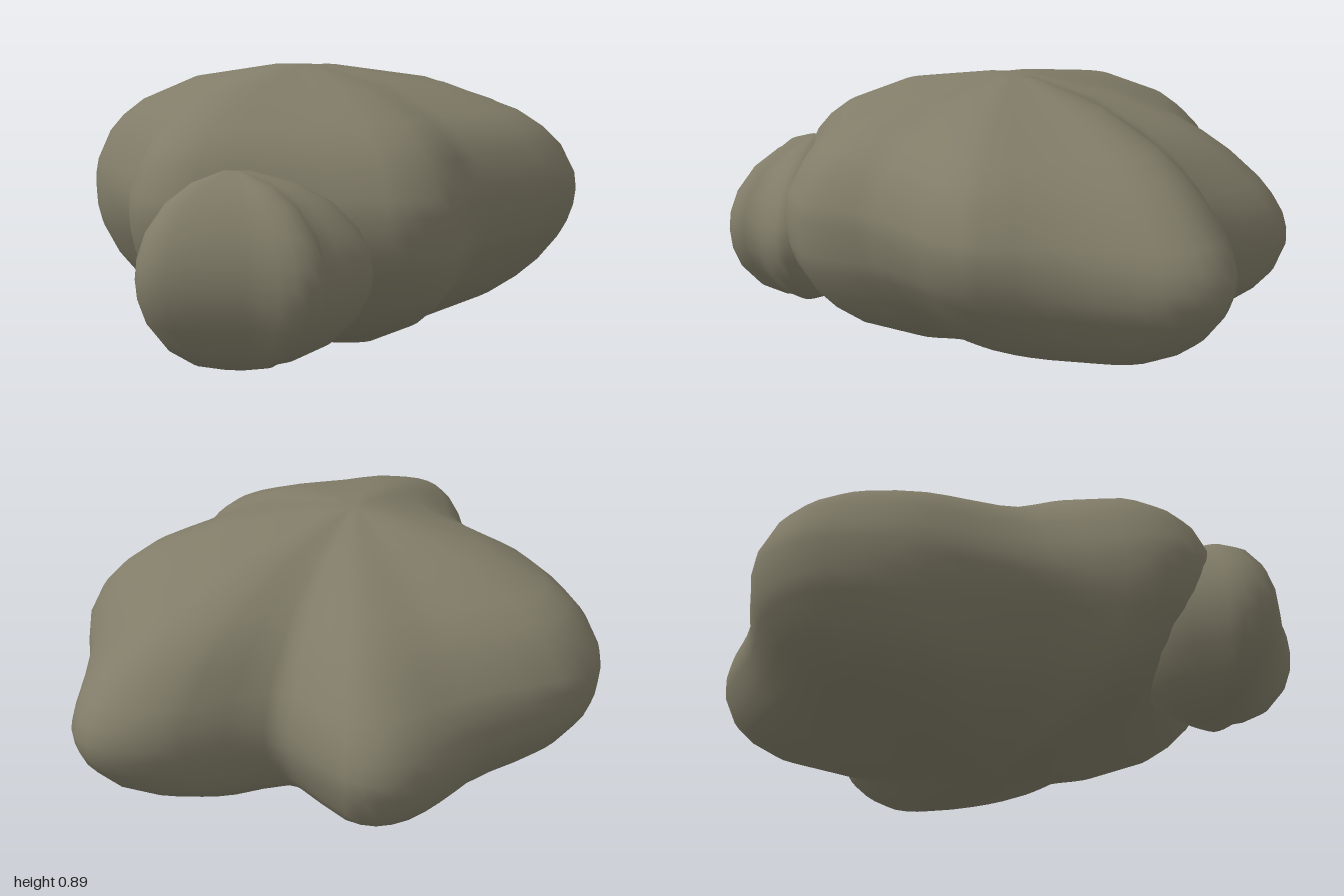
import * as THREE from 'three';

// Blends the swell given at a few compass directions [degrees, upper, lower]
function swellAt(lobes, angle) {
  let upper = 0, lower = 0, total = 1e-6;
  for (const [degrees, up, low] of lobes) {
    const away = 1 - Math.cos(angle - THREE.MathUtils.degToRad(degrees));
    const weight = Math.exp(-away / 0.03);
    upper += up * weight;
    lower += low * weight;
    total += weight;
  }
  return [upper / total, lower / total];
}

// Lofts a closed plan outline of [x, z] through rings of [scale, height].
// Lobes swell (+) or hollow (-) the sides above and below the middle.
function boulder(outline, [cx, cy, cz], halfHeight, profile, lobes) {
  const sides = outline.length * 2;
  const curve = new THREE.CatmullRomCurve3(
    outline.map(([x, z]) => new THREE.Vector3(x - cx, 0, z - cz)), true);
  const plan = curve.getPoints(sides).slice(0, sides);
  const swell = plan.map((p) => swellAt(lobes, Math.atan2(p.z, p.x)));
  const positions = [];
  const index = [];
  for (const [scale, height] of profile) {
    plan.forEach((p, j) => {
      const [upper, lower] = swell[j];
      const widest = 1 + Math.max(upper, lower, 0) ** 2 / 2;
      const s = scale * (1 + (height > 0 ? upper : lower) * Math.abs(height)) / widest;
      positions.push(cx + p.x * s, cy + height * halfHeight, cz + p.z * s);
    });
  }
  const rings = profile.length;
  const top = rings * sides;
  positions.push(cx, cy + halfHeight, cz, cx, cy - halfHeight, cz);
  for (let j = 0; j < sides; j++) {
    const k = (j + 1) % sides;
    index.push(top, k, j);
    for (let i = 0; i < rings - 1; i++) {
      const a = i * sides, b = a + sides;
      index.push(a + j, a + k, b + j, a + k, b + k, b + j);
    }
    index.push(top + 1, (rings - 1) * sides + j, (rings - 1) * sides + k);
  }
  const geometry = new THREE.BufferGeometry();
  geometry.setAttribute('position', new THREE.Float32BufferAttribute(positions, 3));
  geometry.setIndex(index);
  geometry.computeVertexNormals();
  return geometry;
}

// Round profile with small flat caps, the lower half mirroring the upper
function roundProfile(heights) {
  const half = [[0.12, 1], ...heights.map((h) => [Math.sqrt(1 - h * h), h])];
  return [...half, [1, 0], ...half.map(([s, h]) => [s, -h]).reverse()];
}

export function createModel() {
  const group = new THREE.Group();
  group.name = 'rock';
  const stone = new THREE.MeshStandardMaterial({ color: 0x817c68 });
  stone.name = 'stone';

  const add = (name, geometry) => {
    const mesh = new THREE.Mesh(geometry, stone);
    mesh.name = name;
    group.add(mesh);
  };

  // Large lobed boulder
  const mainOutline = [
    [1, 0.17], [0.96, 0.28], [0.87, 0.36], [0.67, 0.52], [0.53, 0.67], [0.43, 0.71], [0.33, 0.72],
    [0.1, 0.71], [0.02, 0.72], [-0.06, 0.76], [-0.17, 0.81], [-0.27, 0.81], [-0.38, 0.77],
    [-0.62, 0.56], [-0.82, 0.42], [-0.88, 0.31], [-0.87, 0.2], [-0.8, 0.1], [-0.66, -0.07],
    [-0.58, -0.35], [-0.53, -0.52], [-0.41, -0.71], [-0.32, -0.79], [-0.2, -0.82], [-0.08, -0.8],
    [0.15, -0.7], [0.3, -0.675], [0.45, -0.65], [0.55, -0.59], [0.59, -0.49], [0.56, -0.25],
    [0.59, -0.17], [0.82, -0.05], [0.94, 0.05],
  ];
  const mainLobes = [
    [6, -0.13, -0.05], [18, -0.08, 0.06], [31, 0.05, 0], // left lobe
    [51, 0.17, -0.18], [64, 0.18, -0.17], // hollow under the front left
    [80, 0.12, 0.02], [96, 0.05, 0.12], [111, 0.05, -0.06], // front lobe
    [123, 0.08, -0.08], [140, 0.12, -0.05], [155, 0.13, -0.06], [169, 0.14, -0.1], // right lobe
    [192, 0.02, -0.2], [205, -0.02, -0.17], // hollow behind the right lobe
    [220, 0, -0.06], [234, 0.05, 0.02], [248, 0.1, 0.02], [263, 0.13, -0.05], [280, 0.05, 0], // back lobe
    [299, -0.18, 0.18], [315, -0.27, 0.22], [328, -0.18, 0.16], [342, -0.08, 0.08], // back left lobe
    [354, -0.1, 0],
  ];
  add('mainBoulder', boulder(mainOutline, [-0.1, 0.447, 0.05], 0.445,
    roundProfile([0.885, 0.69, 0.57, 0.44, 0.24, 0.12]), mainLobes));

  // Small stone resting against the front right side
  const smallOutline = [
    [-0.41, 0.66], [-0.42, 0.75], [-0.5, 0.775], [-0.6, 0.77], [-0.66, 0.81], [-0.73, 0.79],
    [-0.79, 0.71], [-0.85, 0.65], [-0.93, 0.57], [-1, 0.48], [-0.98, 0.39], [-0.9, 0.33],
    [-0.8, 0.25], [-0.68, 0.22], [-0.55, 0.26], [-0.46, 0.38], [-0.42, 0.54],
  ];
  add('smallStone', boulder(smallOutline, [-0.69, 0.355, 0.46], 0.285,
    roundProfile([0.9, 0.72, 0.45, 0.2]), [[0, 0, 0]]));

  return group;
}
